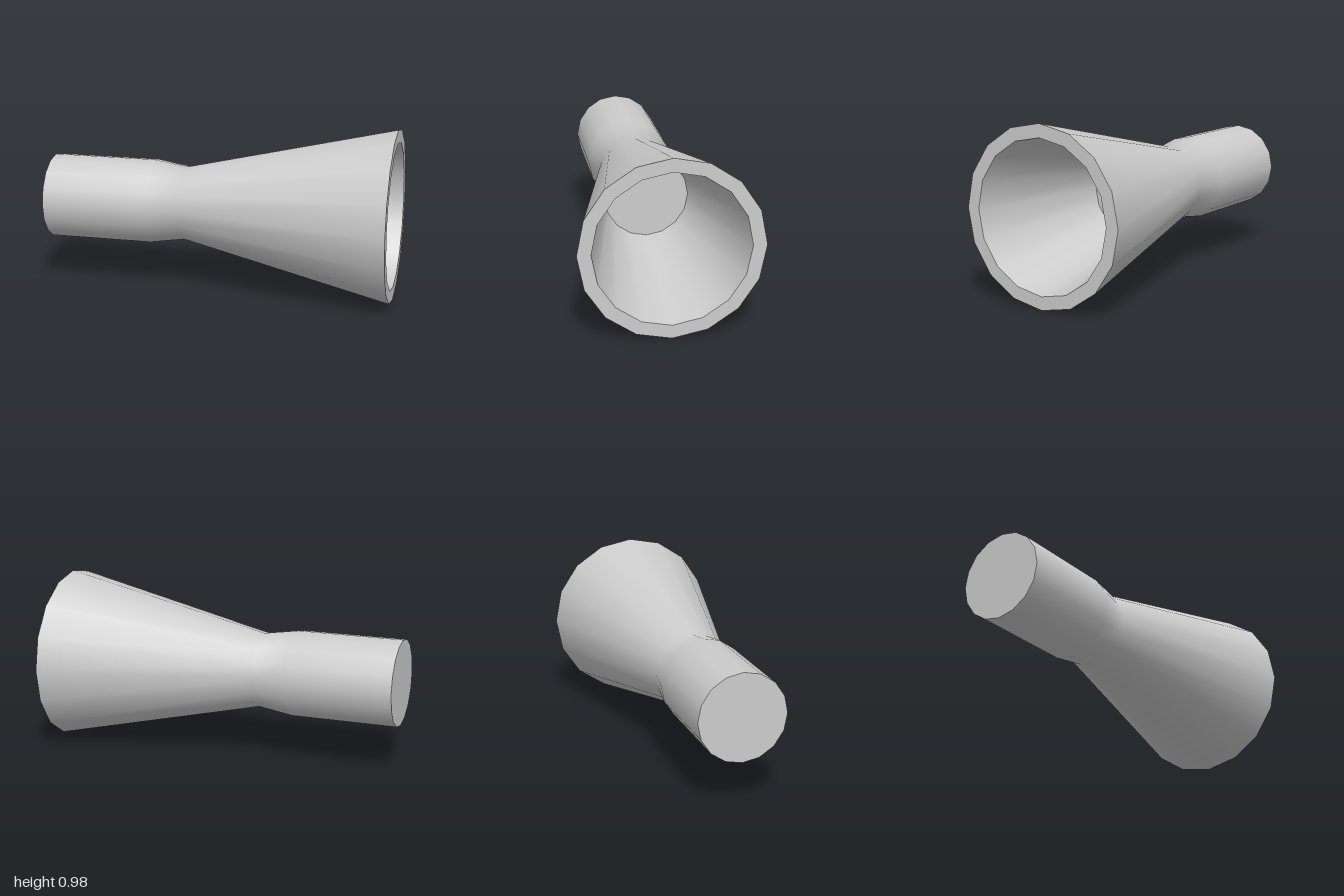
import * as THREE from 'three';

const SIDES = 16;
const AXIS_HEIGHT = 0.491;

export function createModel() {
  const grey = new THREE.MeshStandardMaterial({ color: 0xcccccc });
  grey.name = 'plain grey';

  const model = new THREE.Group();
  model.name = 'flaredNozzle';

  // Turned section around the x axis; profile points are [x, radius].
  // Separate sections keep the rim and floor edges sharp.
  function addTurned(name, profile) {
    const points = profile.map(([x, r]) => new THREE.Vector2(r, x));
    const geometry = new THREE.LatheGeometry(points, SIDES);
    geometry.rotateZ(-Math.PI / 2);
    geometry.translate(0, AXIS_HEIGHT, 0);
    const mesh = new THREE.Mesh(geometry, grey);
    mesh.name = name;
    model.add(mesh);
  }

  // Closed inlet end
  addTurned('endCap', [[-1, 0], [-1, 0.244]]);
  // Straight pipe, narrowed throat and flared bell
  addTurned('outerWall', [[-1, 0.244], [-0.4, 0.244], [-0.2, 0.213], [1, 0.491]]);
  // Flat ring around the mouth
  addTurned('mouthRim', [[1, 0.491], [1, 0.417]]);
  // Hollow inside of the bell and its flat floor
  addTurned('innerWall', [[1, 0.417], [0.2, 0.235]]);
  addTurned('innerFloor', [[0.2, 0.235], [0.2, 0]]);

  return model;
}
